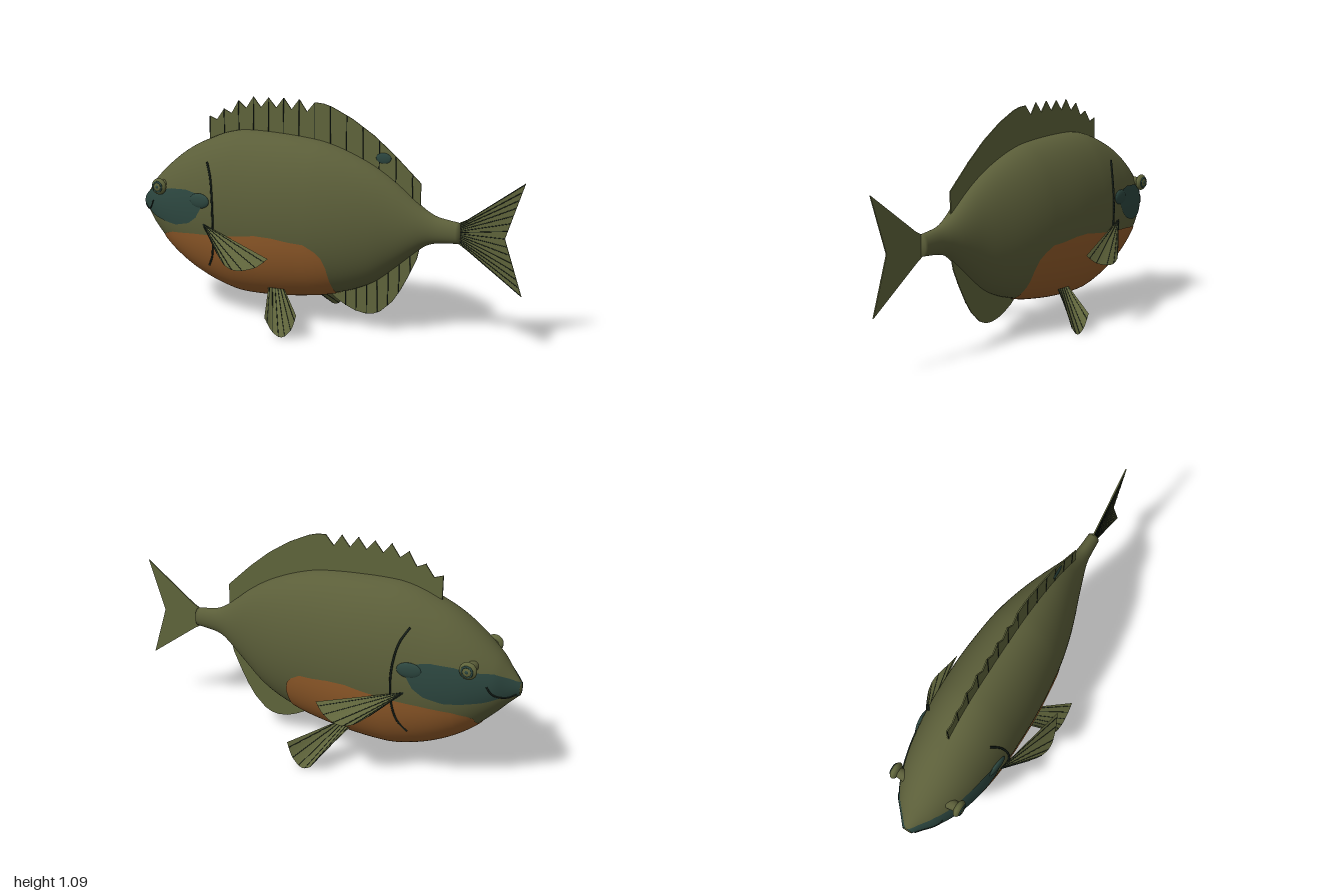
import * as THREE from 'three';

const mat = (name, color, side = THREE.FrontSide) => {
  const m = new THREE.MeshStandardMaterial({ color, side });
  m.name = name;
  return m;
};

// Body stations: x, top, bottom, half width
const BODY = [
  [-1, 0.55, 0.49, 0.02], [-0.95, 0.61, 0.44, 0.063], [-0.9, 0.67, 0.385, 0.105], [-0.8, 0.757, 0.29, 0.155],
  [-0.7, 0.825, 0.22, 0.185], [-0.6, 0.872, 0.17, 0.203], [-0.5, 0.908, 0.135, 0.214], [-0.4, 0.925, 0.115, 0.22],
  [-0.2, 0.92, 0.12, 0.22], [0, 0.9, 0.145, 0.203], [0.1, 0.875, 0.168, 0.187], [0.2, 0.838, 0.2, 0.163],
  [0.3, 0.79, 0.25, 0.132], [0.4, 0.725, 0.33, 0.097], [0.5, 0.645, 0.415, 0.064], [0.55, 0.61, 0.45, 0.048],
  [0.6, 0.588, 0.465, 0.037], [0.71, 0.57, 0.475, 0.03],
];

// Smooth (Hermite) reading of the stations at any x
function section(x) {
  const n = BODY.length;
  let i = 0;
  while (i < n - 2 && x > BODY[i + 1][0]) i++;
  const slope = (k, c) => {
    const a = BODY[Math.max(k - 1, 0)], b = BODY[Math.min(k + 1, n - 1)];
    return (b[c] - a[c]) / (b[0] - a[0]);
  };
  const p = BODY[i], q = BODY[i + 1], d = q[0] - p[0];
  const t = THREE.MathUtils.clamp((x - p[0]) / d, 0, 1), t2 = t * t, t3 = t2 * t;
  const [top, bottom, w] = [1, 2, 3].map((c) =>
    p[c] * (2 * t3 - 3 * t2 + 1) + slope(i, c) * d * (t3 - 2 * t2 + t) +
    q[c] * (3 * t2 - 2 * t3) + slope(i + 1, c) * d * (t3 - t2));
  return { c: (top + bottom) / 2, h: (top - bottom) / 2, w };
}
const angleAt = (x, y) => {
  const s = section(x);
  return Math.asin(THREE.MathUtils.clamp((y - s.c) / s.h, -1, 1));
};
const onBody = (x, a, off = 0) => {
  const s = section(x);
  return new THREE.Vector3(x, s.c + (s.h + off) * Math.sin(a), (s.w + off) * Math.cos(a));
};
const skin = (x, y, off) => onBody(x, angleAt(x, y), off);

// Surface through rows of points
function loft(rows, closed) {
  const m = rows[0].length, index = [];
  for (let i = 0; i < rows.length - 1; i++) {
    for (let j = 0; j < (closed ? m : m - 1); j++) {
      const k = (j + 1) % m, a = i * m + j, b = a + m, c = (i + 1) * m + k, d = i * m + k;
      index.push(a, b, c, a, c, d);
    }
  }
  const g = new THREE.BufferGeometry().setFromPoints(rows.flat());
  g.setIndex(index);
  g.computeVertexNormals();
  return g;
}

// Height of a polyline at x
function lineAt(pts, x) {
  let i = 0;
  while (i < pts.length - 2 && x > pts[i + 1][0]) i++;
  const [a, b] = [pts[i], pts[i + 1]];
  return THREE.MathUtils.lerp(a[1], b[1], THREE.MathUtils.clamp((x - a[0]) / (b[0] - a[0]), 0, 1));
}

// Coloured skin patch between two outlines; without a lower one it reaches the keel
function patch(upper, lower) {
  const rows = [];
  for (let i = 0; i < upper.length - 1; i++) {
    for (let s = i ? 1 : 0; s <= 6; s++) {
      const x = THREE.MathUtils.lerp(upper[i][0], upper[i + 1][0], s / 6);
      const a0 = lower ? angleAt(x, lineAt(lower, x)) : -Math.PI / 2, a1 = angleAt(x, lineAt(upper, x));
      rows.push(Array.from({ length: 17 }, (_, j) => onBody(x, a0 + (a1 - a0) * j / 16, 0.004)));
    }
  }
  return loft(rows, false);
}

export function createModel() {
  const model = new THREE.Group();
  model.name = 'fish';
  const olive = mat('olive skin', 0x5b5e39);
  const finOlive = mat('olive fin', 0x5f643b, THREE.DoubleSide);
  const orange = mat('orange belly', 0x935c2a, THREE.DoubleSide);
  const teal = mat('dark teal', 0x2c463f, THREE.DoubleSide);
  const dark = mat('dark line', 0x18221c);

  const add = (parent, name, geometry, material) => {
    const mesh = new THREE.Mesh(geometry, material);
    mesh.name = name;
    parent.add(mesh);
    return mesh;
  };
  const up = new THREE.Vector3(0, 1, 0);
  const ray = (parent, name, a, b, r = 0.0025) => {
    const d = b.clone().sub(a);
    const mesh = add(parent, name, new THREE.CylinderGeometry(r, r, d.length(), 5), dark);
    mesh.position.copy(a).add(b).multiplyScalar(0.5);
    mesh.quaternion.setFromUnitVectors(up, d.normalize());
  };
  const v = (x, y, z) => new THREE.Vector3(x, y, z);

  // Body with closed ends
  const rows = [];
  for (let i = 0; i <= 110; i++) {
    const x = -1 + 1.71 * i / 110;
    rows.push(Array.from({ length: 72 }, (_, j) => onBody(x, j / 72 * Math.PI * 2)));
  }
  const end = (x) => Array.from({ length: 72 }, () => v(x, section(x).c, 0));
  add(model, 'body', loft([end(-1), ...rows, end(0.71)], true), olive);

  // Upright fins: thin plates
  const plate = (name, pts) => {
    const g = new THREE.ExtrudeGeometry(new THREE.Shape(pts.map((p) => new THREE.Vector2(...p))),
      { depth: 0.006, bevelEnabled: false });
    g.translate(0, 0, -0.003);
    add(model, name, g, finOlive);
  };
  const dorsal = [
    [-0.61, 0.98], [-0.567, 0.965], [-0.525, 1.02], [-0.483, 1.0], [-0.442, 1.065], [-0.4, 1.03], [-0.358, 1.087],
    [-0.317, 1.038], [-0.275, 1.087], [-0.233, 1.04], [-0.192, 1.09], [-0.15, 1.037], [-0.108, 1.087],
    [-0.067, 1.03], [-0.025, 1.077], [0.02, 1.073], [0.065, 1.06], [0.17, 1.01], [0.28, 0.94], [0.385, 0.855],
    [0.515, 0.735],
  ];
  plate('dorsalFin', [...dorsal, [0.515, 0.6], [0.3, 0.73], [0, 0.84], [-0.3, 0.87], [-0.61, 0.83]]);
  const anal = [[0.05, 0.17], [0.09, 0.135], [0.14, 0.108], [0.19, 0.088], [0.24, 0.08], [0.28, 0.083], [0.32, 0.1],
    [0.38, 0.155], [0.42, 0.215], [0.46, 0.29], [0.5, 0.375], [0.515, 0.44]];
  plate('analFin', [...anal, [0.4, 0.4], [0.2, 0.27], [0.05, 0.22]]);
  plate('tailFin', [[0.7, 0.57], [0.74, 0.59], [1, 0.778], [0.915, 0.52], [1, 0.265], [0.74, 0.45], [0.7, 0.475]]);

  // Fin rays on the left face
  for (let x = -0.608; x < 0.52; x += 0.0833) {
    const s = section(x);
    ray(model, 'dorsalRay', v(x, s.c + s.h - 0.01, 0.003), v(x, lineAt(dorsal, x), 0.003));
  }
  for (let x = 0.14; x < 0.51; x += 0.055) {
    const s = section(x);
    ray(model, 'analRay', v(x, s.c - s.h + 0.01, 0.003), v(x, lineAt(anal, x), 0.003));
  }
  for (const s of [-1, 1]) {
    for (let i = 0; i <= 7; i++) {
      const t = i / 7;
      ray(model, 'tailRay', v(0.71, 0.522 + s * 0.045 * t, 0.003),
        v(0.915 + 0.08 * t, 0.521 + s * 0.25 * t, 0.003), 0.0018);
    }
  }

  // Spot on the dorsal fin
  const spot = add(model, 'finSpot', new THREE.SphereGeometry(1, 24, 12), teal);
  spot.scale.set(0.038, 0.025, 0.006);
  spot.position.set(0.33, 0.838, 0.003);

  // Everything that is paired
  const side = new THREE.Group();
  side.name = 'leftSide';
  add(side, 'bellyPatch', patch([[-0.835, 0.318], [-0.826, 0.38], [-0.8, 0.395], [-0.74, 0.412], [-0.6, 0.425],
    [-0.45, 0.432], [-0.33, 0.443], [-0.24, 0.456], [-0.15, 0.453], [-0.06, 0.44], [0.01, 0.435], [0.06, 0.405],
    [0.09, 0.375], [0.107, 0.325], [0.113, 0.2]]), orange);
  add(side, 'facePatch', patch([[-1, 0.55], [-0.96, 0.575], [-0.9, 0.605], [-0.82, 0.612], [-0.74, 0.63],
    [-0.64, 0.637], [-0.57, 0.625], [-0.53, 0.58]],
  [[-1, 0.495], [-0.93, 0.492], [-0.87, 0.473], [-0.79, 0.462], [-0.71, 0.455], [-0.62, 0.475], [-0.57, 0.51],
    [-0.53, 0.575]]), teal);

  // Cheek spot
  const cheek = add(side, 'cheekSpot', new THREE.SphereGeometry(1, 28, 14), teal);
  cheek.scale.set(0.058, 0.037, 0.013);
  cheek.position.copy(skin(-0.55, 0.593, 0));
  cheek.rotation.y = -0.12;

  // Mouth and gill lines
  const line = (name, pts, r) => add(side, name, new THREE.TubeGeometry(
    new THREE.CatmullRomCurve3(pts.map(([x, y]) => skin(x, y, 0.004))), 32, r, 6), dark);
  line('mouth', [[-0.99, 0.505], [-0.96, 0.492], [-0.925, 0.5], [-0.9, 0.52], [-0.88, 0.552]], 0.004);
  line('gillLine', [[-0.53, 0.775], [-0.495, 0.71], [-0.475, 0.62], [-0.468, 0.51], [-0.475, 0.4],
    [-0.495, 0.32], [-0.53, 0.265]], 0.005);

  // Eye: stalk, ball, dark ring and centre
  const eye = new THREE.Group();
  eye.name = 'eye';
  eye.position.set(-0.81, 0.635, 0.168);
  const stalk = add(eye, 'eyeSocket', new THREE.CylinderGeometry(0.022, 0.03, 0.07, 20), olive);
  stalk.rotation.x = Math.PI / 2;
  stalk.position.z = -0.035;
  add(eye, 'eyeball', new THREE.SphereGeometry(0.041, 28, 16), finOlive).scale.z = 0.5;
  add(eye, 'iris', new THREE.TorusGeometry(0.024, 0.005, 8, 28), teal).position.z = 0.015;
  add(eye, 'pupil', new THREE.SphereGeometry(0.018, 20, 12), teal).scale.z = 1.25;
  side.add(eye);

  // Paired fins: fans between a root edge and an outer edge
  const fan = (name, root, tips) => {
    const curve = new THREE.CatmullRomCurve3(tips.map((p) => v(...p)));
    const [r0, r1] = root.map((p) => v(...p));
    const outer = curve.getPoints(24);
    const inner = outer.map((_, i) => r0.clone().lerp(r1, i / 24));
    add(side, name, loft([inner, outer], false), finOlive);
    for (let i = 2; i < 24; i += 4) ray(side, name + 'Ray', inner[i], outer[i], 0.0018);
  };
  fan('pectoralFin', [[-0.53, 0.482, 0.208], [-0.53, 0.478, 0.21]],
    [[-0.127, 0.372, 0.288], [-0.18, 0.33, 0.312], [-0.27, 0.31, 0.337], [-0.34, 0.325, 0.325], [-0.43, 0.39, 0.275]]);
  fan('pelvicFin', [[-0.13, 0.18, 0.12], [-0.22, 0.18, 0.12]],
    [[0.025, 0.12, 0.294], [-0.005, 0.045, 0.294], [-0.055, 0.003, 0.294], [-0.1, 0.02, 0.294], [-0.145, 0.085, 0.294]]);

  const other = side.clone();
  other.name = 'rightSide';
  other.scale.z = -1;
  model.add(side, other);
  return model;
}
